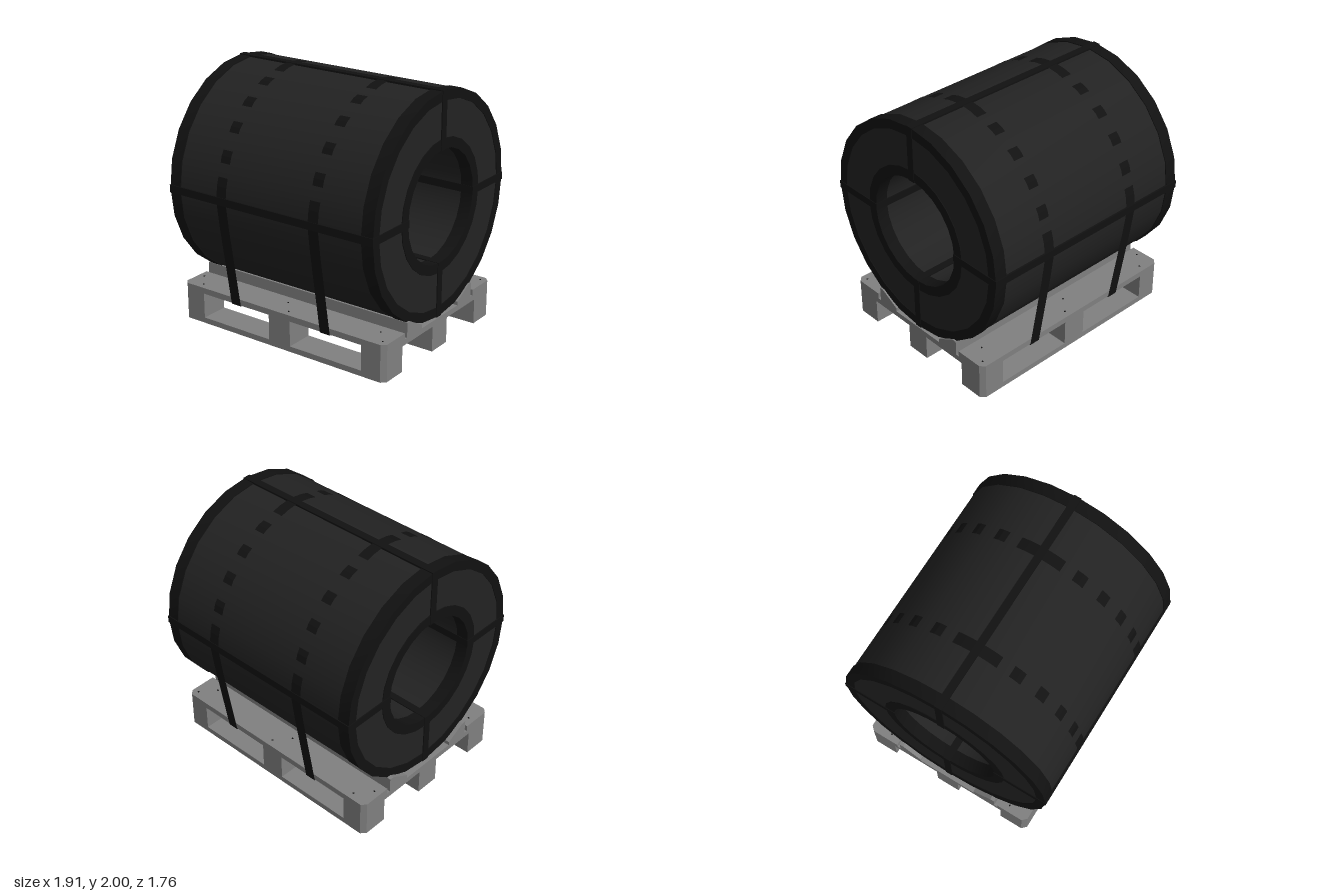
import * as THREE from 'three';
import { toCreasedNormals } from 'three/addons/utils/BufferGeometryUtils.js';

const AXIS_Y = 1.125; // height of the coil axis
const X0 = -0.92, X1 = 0.94; // coil ends
const PX = 0.953, PZ = 0.735, CUT = 0.035; // pallet half sizes and corner chamfer

const mat = (color) => new THREE.MeshStandardMaterial({ color, side: THREE.DoubleSide });
const sheetMat = mat(0x222222);
const bandMat = mat(0x111111);
const woodMat = mat(0x808080);

function add(parent, name, geometry, material) {
  const mesh = new THREE.Mesh(geometry, material);
  mesh.name = name;
  parent.add(mesh);
  return mesh;
}

// Hollow 24-sided ring lying along x
function ring(rIn, rOut, xa, xb) {
  const profile = [[rOut, xa], [rOut, xb], [rIn, xb], [rIn, xa], [rOut, xa]];
  const g = new THREE.LatheGeometry(profile.map(([r, x]) => new THREE.Vector2(r, x)), 24);
  g.rotateZ(-Math.PI / 2);
  return toCreasedNormals(g, 0.5);
}

// Flat piece of the pallet; corners on the pallet's outer corners are chamfered
function board(xa, xb, y0, y1, za, zb) {
  const pts = [];
  const corners = [[xa, za], [xb, za], [xb, zb], [xa, zb]];
  corners.forEach(([x, z], i) => {
    if (Math.abs(x) < PX || Math.abs(z) < PZ) return pts.push([x, z]);
    const alongX = [x - Math.sign(x) * CUT, z];
    const alongZ = [x, z - Math.sign(z) * CUT];
    pts.push(...(i % 2 ? [alongX, alongZ] : [alongZ, alongX]));
  });
  const shape = new THREE.Shape(pts.map(([x, z]) => new THREE.Vector2(x, -z)));
  const g = new THREE.ExtrudeGeometry(shape, { depth: y1 - y0, bevelEnabled: false });
  return g.rotateX(-Math.PI / 2).translate(0, y0, 0);
}

function box(w, h, d, x, y, z) {
  return new THREE.BoxGeometry(w, h, d).translate(x, y, z);
}

// Thin band of the given width following a path of [z, y] points
function ribbon(path, x, width) {
  const pos = [];
  for (let i = 0; i < path.length - 1; i++) {
    const [za, ya] = path[i], [zb, yb] = path[i + 1];
    const l = x - width / 2, r = x + width / 2;
    pos.push(l, ya, za, r, ya, za, r, yb, zb, l, ya, za, r, yb, zb, l, yb, zb);
  }
  const g = new THREE.BufferGeometry();
  g.setAttribute('position', new THREE.Float32BufferAttribute(pos, 3));
  g.computeVertexNormals();
  return g;
}

function makeCoil() {
  const coil = new THREE.Group();
  coil.name = 'coil';
  coil.position.y = AXIS_Y;
  add(coil, 'coilBody', ring(0.445, 0.868, X0 + 0.006, X1 - 0.006), sheetMat);

  // Protective edge rings, outside and around the bore
  for (const [xa, xb] of [[X0, X0 + 0.1], [X1 - 0.1, X1]]) {
    add(coil, 'outerEdgeRing', ring(0.8, 0.875, xa, xb), bandMat);
    add(coil, 'innerEdgeRing', ring(0.44, 0.52, xa, xb), bandMat);
  }

  // Four straps threaded through the bore and back over the outside
  const mid = (X0 + X1) / 2, len = X1 - X0 + 0.008;
  for (let i = 0; i < 4; i++) {
    const strap = new THREE.Group();
    strap.name = 'boreStrap';
    strap.rotation.x = i * Math.PI / 2;
    add(strap, 'strapOutside', box(len, 0.02, 0.06, mid, 0.868, 0), bandMat);
    add(strap, 'strapInside', box(len, 0.02, 0.06, mid, 0.443, 0), bandMat);
    for (const x of [X0, X1]) {
      add(strap, 'strapEnd', box(0.008, 0.44, 0.06, x, 0.655, 0), bandMat);
    }
    coil.add(strap);
  }
  return coil;
}

// Straps over the coil, down to the pallet and under its deck
function makeTieStraps() {
  const group = new THREE.Group();
  group.name = 'tieStraps';
  const polar = (deg, r) => {
    const a = THREE.MathUtils.degToRad(deg);
    return [r * Math.cos(a), AXIS_Y + r * Math.sin(a)];
  };
  const half = [[0.739, 0.245], polar(-15, 0.877), polar(0, 0.878)];
  for (let a = 7.5; a < 90; a += 15) {
    half.push(polar(a, a < 10 || a > 80 ? 0.871 : 0.8665));
  }
  const mirrored = half.map(([z, y]) => [-z, y]).reverse();
  const path = [...half, polar(90, 0.878), ...mirrored, half[0]];
  for (const x of [-0.415, 0.43]) add(group, 'tieStrap', ribbon(path, x, 0.09), bandMat);
  return group;
}

function makePallet() {
  const pallet = new THREE.Group();
  pallet.name = 'pallet';
  const columns = [[-PX, -0.75], [-0.1, 0.1], [0.75, PX]];
  const rows = [[-PZ, -0.505], [-0.1, 0.1], [0.505, PZ]];

  for (const [za, zb] of rows) {
    add(pallet, 'bottomBoard', board(-PX, PX, 0, 0.045, za, zb), woodMat);
    for (const [xa, xb] of columns) {
      add(pallet, 'block', board(xa, xb, 0.045, 0.205, za, zb), woodMat);
    }
  }
  for (const [xa, xb] of columns) {
    add(pallet, 'crossBoard', board(xa, xb, 0.205, 0.25, -PZ, PZ), woodMat);
  }

  for (const s of [-1, 1]) {
    const [za, zb] = s > 0 ? [0.475, PZ] : [-PZ, -0.475];
    add(pallet, 'deckBoard', board(-PX, PX, 0.25, 0.298, za, zb), woodMat);

    // Sloped chock that keeps the coil from rolling
    const section = [[0.25, 0.25], [0.445, 0.25], [0.445, 0.37], [0.41, 0.37], [0.25, 0.28]];
    const shape = new THREE.Shape(section.map(([z, y]) => new THREE.Vector2(-s * z, y)));
    const chock = new THREE.ExtrudeGeometry(shape, { depth: 2 * PX, bevelEnabled: false });
    add(pallet, 'chock', chock.rotateY(Math.PI / 2).translate(-PX, 0, 0), woodMat);

    // Nail heads above the blocks
    for (const x of [-0.85, 0, 0.85]) {
      for (const [dx, z] of [[-0.05, 0.56], [0.05, 0.68]]) {
        const nail = new THREE.CylinderGeometry(0.007, 0.007, 0.004, 8);
        add(pallet, 'nail', nail.translate(x + dx, 0.299, s * z), bandMat);
      }
    }
  }
  return pallet;
}

export function createModel() {
  const model = new THREE.Group();
  model.name = 'coilOnPallet';
  model.add(makeCoil(), makeTieStraps(), makePallet());
  return model;
}
